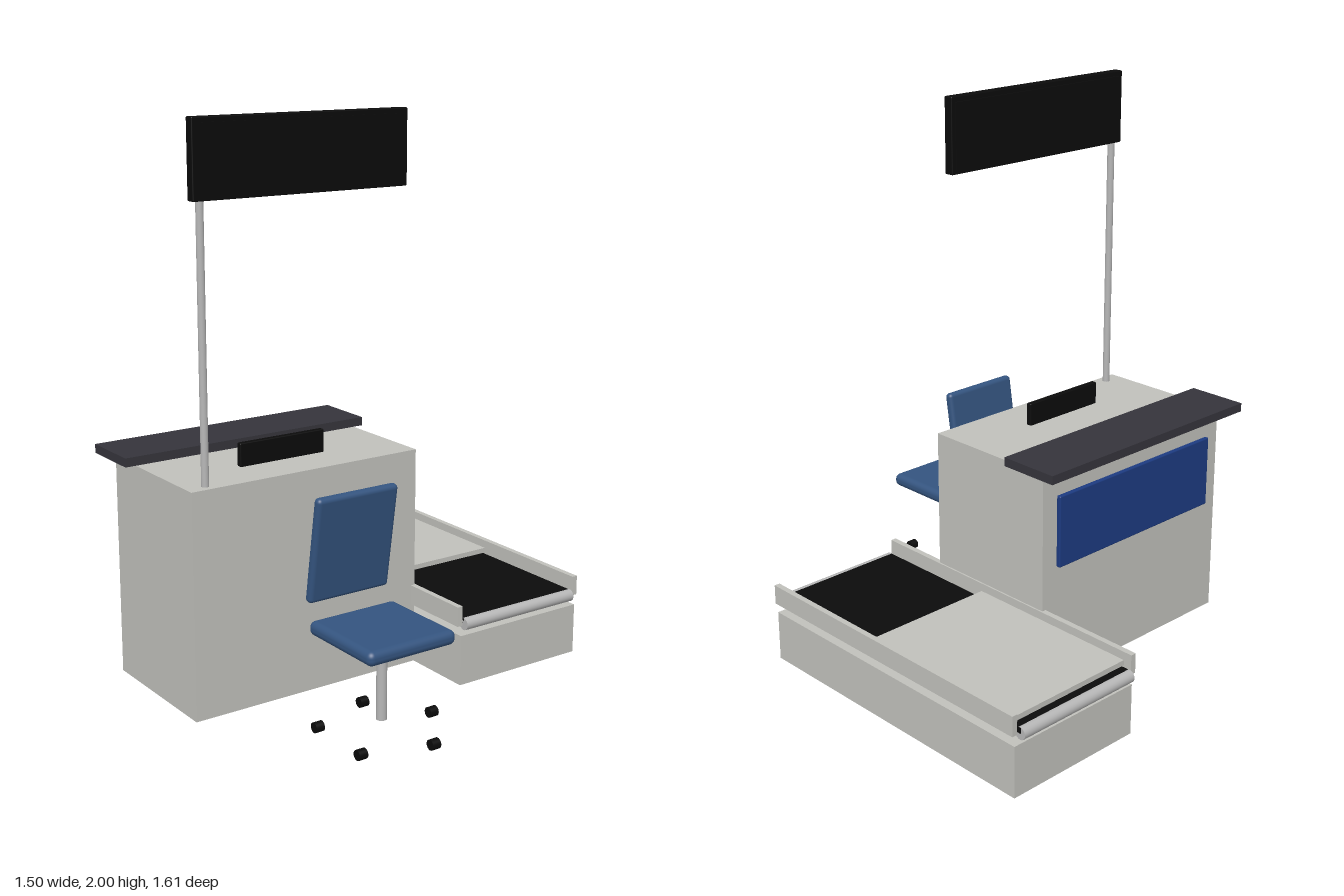
import * as THREE from 'three';
import { RoundedBoxGeometry } from 'three/addons/geometries/RoundedBoxGeometry.js';

export function createModel() {
  const root = new THREE.Group();
  root.name = 'checkoutCounter';

  const mat = (name, color) => {
    const m = new THREE.MeshStandardMaterial({ color });
    m.name = name;
    return m;
  };
  const grey = mat('cabinet grey', 0xc0c0bb);
  const metal = mat('metal', 0xb6b6b6);
  const slate = mat('countertop slate', 0x35343b);
  const black = mat('black', 0x0b0b0b);
  const blue = mat('panel blue', 0x1c3a80);
  const fabric = mat('chair blue', 0x34547f);

  const add = (name, geo, material, x, y, z, parent = root) => {
    const m = new THREE.Mesh(geo, material);
    m.name = name;
    m.position.set(x, y, z);
    parent.add(m);
    return m;
  };
  // Box from its minimum and maximum on each axis; r rounds the edges
  const box = (name, material, [x0, x1], [y0, y1], [z0, z1], r = 0, parent = root) => {
    const w = x1 - x0, h = y1 - y0, d = z1 - z0;
    const geo = r ? new RoundedBoxGeometry(w, h, d, 4, r) : new THREE.BoxGeometry(w, h, d);
    return add(name, geo, material, (x0 + x1) / 2, (y0 + y1) / 2, (z0 + z1) / 2, parent);
  };
  // Cylinder lying along x
  const rollerGeo = (r, w) => new THREE.CylinderGeometry(r, r, w, 24).rotateZ(Math.PI / 2);

  // Cabinet with raised customer shelf and back panel
  box('cabinet', grey, [-0.713, 0.2], [0, 0.803], [-0.365, 0.165]);
  box('shelf', slate, [-0.752, 0.238], [0.803, 0.835], [-0.445, -0.217]);
  box('backPanel', blue, [-0.648, 0.135], [0.443, 0.71], [-0.383, -0.365], 0.005);

  // Low screen on the cabinet
  box('screen', black, [-0.43, -0.087], [0.803, 0.887], [-0.015, 0.007], 0.004);

  // Overhead sign: board, front frame and back plate on a post
  const sign = new THREE.Group();
  sign.name = 'sign';
  root.add(sign);
  add('post', new THREE.CylinderGeometry(0.013, 0.013, 0.94, 24), metal, -0.641, 1.273, 0.13, sign);
  box('signBoard', black, [-0.674, 0.163], [1.737, 2], [0.112, 0.148], 0.004, sign);
  box('signBackPlate', black, [-0.656, 0.148], [1.755, 1.982], [0.105, 0.112], 0, sign);
  box('signFrontPlate', black, [-0.656, 0.148], [1.755, 1.982], [0.148, 0.152], 0, sign);

  // Conveyor: base, floating side rails, belt, deck and end rollers
  const conveyor = new THREE.Group();
  conveyor.name = 'conveyor';
  root.add(conveyor);
  box('conveyorBase', grey, [0.2, 0.737], [0, 0.185], [-0.782, 0.435], 0, conveyor);
  for (const x of [0.185, 0.725]) {
    box('sideRail', grey, [x, x + 0.021], [0.223, 0.295], [-0.782, 0.435], 0, conveyor);
  }
  box('belt', black, [0.216, 0.716], [0.224, 0.246], [-0.79, 0.432], 0, conveyor);
  box('deck', grey, [0.205, 0.726], [0.246, 0.265], [-0.75, -0.065], 0, conveyor);
  for (const z of [0.43, -0.785]) {
    add('endRoller', rollerGeo(0.022, 0.5), metal, 0.466, 0.225, z, conveyor);
  }

  // Chair: cushion, leaning backrest, column and five casters
  const chair = new THREE.Group();
  chair.name = 'chair';
  chair.position.set(-0.258, 0, 0.59);
  root.add(chair);
  add('seat', new RoundedBoxGeometry(0.347, 0.05, 0.347, 5, 0.022), fabric, 0, 0.357, 0, chair);
  const back = add('backrest', new RoundedBoxGeometry(0.32, 0.375, 0.034, 5, 0.015), fabric, 0, 0.616, -0.17, chair);
  back.rotation.x = 0.155;
  add('column', new THREE.CylinderGeometry(0.018, 0.018, 0.28, 24), metal, 0, 0.195, 0, chair);
  for (let i = 0; i < 5; i++) {
    const a = (i * Math.PI * 2) / 5;
    add('caster', rollerGeo(0.018, 0.032), black, 0.21 * Math.cos(a), 0.025, 0.207 * Math.sin(a), chair);
  }

  return root;
}
